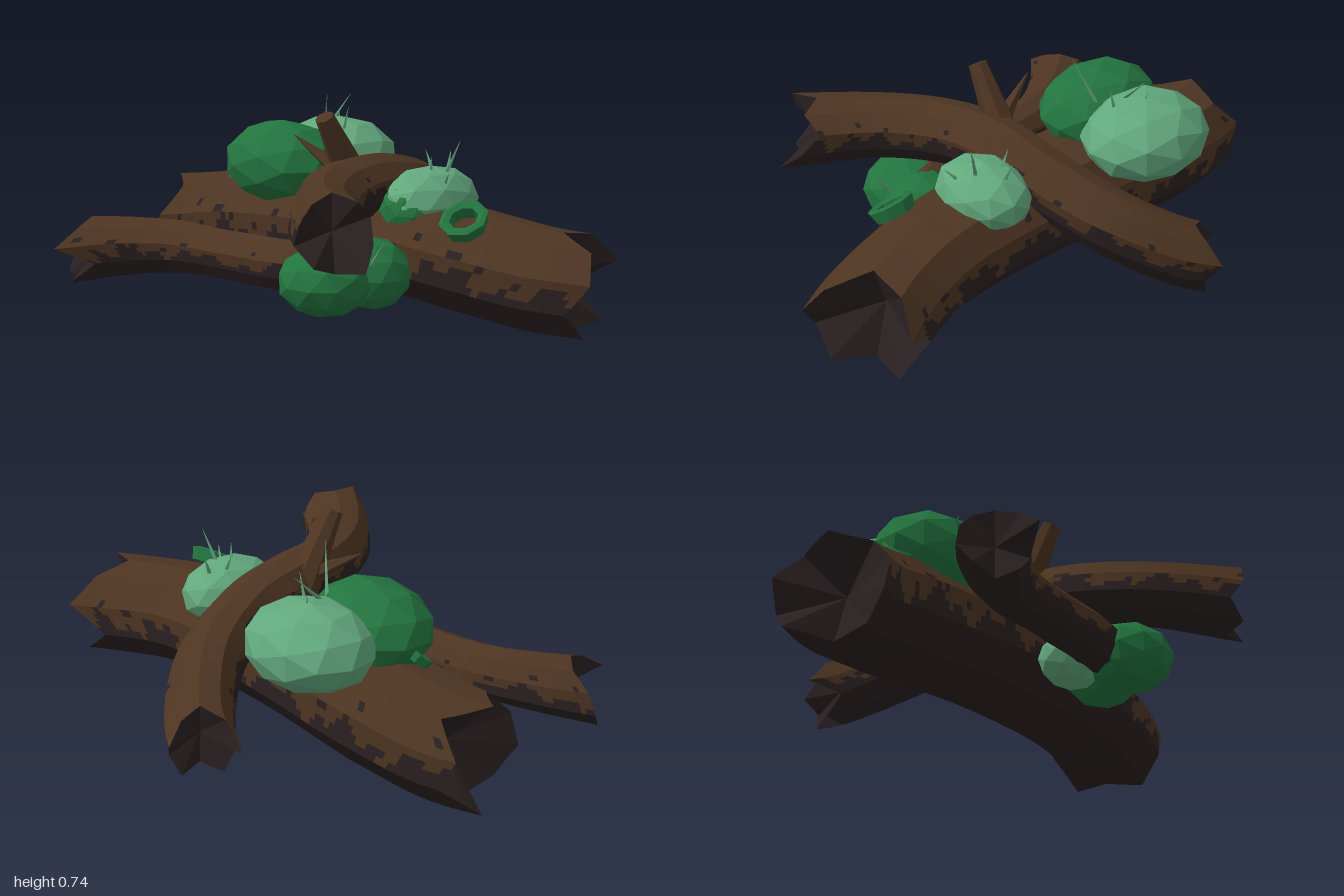
import * as THREE from 'three';

const paint = (name, color) => {
  const m = new THREE.MeshStandardMaterial({ color });
  m.name = name;
  return m;
};
const bark = paint('bark', 0x4e3522);
const rot = paint('darkWood', 0x2a2021);
const moss = paint('moss', 0x23743f);
const paleMoss = paint('paleMoss', 0x62a87d);

const V = (p) => new THREE.Vector3(...p);
const UP = new THREE.Vector3(0, 1, 0);

// Flat-faced mesh from a list of triangle corners
function facets(name, points, material) {
  const g = new THREE.BufferGeometry().setFromPoints(points);
  g.computeVertexNormals();
  const mesh = new THREE.Mesh(g, material);
  mesh.name = name;
  return mesh;
}

// Ten-sided log swept along a path: splintered ends, bark above, dark wood below.
// head and tail hold how far each side stops short of the path's ends.
function log({ name, path, radii, squash, head, tail, hollow, phase, barkEdge }) {
  const SIDES = 10, SUB = 4, STEPS = 72, RING = SIDES * SUB;
  const curve = new THREE.CatmullRomCurve3(path.map(V));
  const length = curve.getLength();
  const mix = (arr, k) => {
    const i = Math.floor(k / SUB), f = (k % SUB) / SUB;
    return arr[i % SIDES] * (1 - f) + arr[(i + 1) % SIDES] * f;
  };
  const cos = [], sin = [];
  for (let i = 0; i < SIDES; i++) {
    const a = ((i + 0.5) / SIDES) * Math.PI * 2;
    const bump = 1 + 0.04 * Math.sin(i * 2.4 + phase);
    cos.push(Math.cos(a) * bump);
    sin.push(Math.sin(a) * bump);
  }
  const radiusAt = (t) => {
    const x = t * (radii.length - 1), i = Math.min(Math.floor(x), radii.length - 2);
    return THREE.MathUtils.lerp(radii[i], radii[i + 1], x - i);
  };
  const vertex = (s, k) => {
    k %= RING;
    const t0 = mix(head, k) / length, t1 = mix(tail, k) / length;
    // the inset fades out away from each end
    const t = s + t0 * Math.max(0, 1 - s * 3) - t1 * Math.max(0, 1 - (1 - s) * 3);
    const T = curve.getTangentAt(t), r = radiusAt(t);
    const S = T.clone().cross(UP).normalize(), U = S.clone().cross(T);
    return curve.getPointAt(t)
      .addScaledVector(S, mix(cos, k) * r)
      .addScaledVector(U, mix(sin, k) * r * squash);
  };
  const rows = [];
  for (let i = 0; i <= STEPS; i++) {
    rows.push(Array.from({ length: RING + 1 }, (_, k) => vertex(i / STEPS, k)));
  }
  const top = [], under = [];
  for (let i = 0; i < STEPS; i++) {
    // ragged edge of the bark, with a few bare patches above it
    const u = (i / STEPS) * length * 10 + phase;
    const edge = barkEdge + 0.15 * Math.sin(u * 1.7) + 0.14 * Math.sin(u * 4.3 + 1);
    for (let k = 0; k < RING; k++) {
      const h = (mix(sin, k) + mix(sin, (k + 1) % RING)) / 2;
      const bare = h < 0.6 && Math.sin(u * 2.7 + k * 0.9) * Math.sin(u * 1.1 - k * 1.3) > 0.82;
      const a = rows[i][k], b = rows[i + 1][k], c = rows[i][k + 1], d = rows[i + 1][k + 1];
      (h < edge || bare ? under : top).push(a, b, c, b, d, c);
    }
  }
  // hollowed, broken ends
  const inA = curve.getPointAt(hollow / length), inB = curve.getPointAt(1 - hollow / length);
  for (let k = 0; k < RING; k++) {
    under.push(inA, rows[0][k], rows[0][k + 1], inB, rows[STEPS][k + 1], rows[STEPS][k]);
  }
  const g = new THREE.Group();
  g.name = name;
  g.add(facets(name + 'Bark', top, bark), facets(name + 'DarkWood', under, rot));
  return g;
}

// Faceted cushion of moss
function cushion(name, center, size, material) {
  const geo = new THREE.IcosahedronGeometry(1.03, 1);
  geo.rotateY(center[0] * 9).scale(...size).computeVertexNormals();
  const mesh = new THREE.Mesh(geo, material);
  mesh.position.set(...center);
  mesh.name = name;
  return mesh;
}

// Tapered piece between two points
function taper(name, from, to, r0, r1, sides, material) {
  const a = V(from), b = V(to), dir = b.clone().sub(a);
  const geo = new THREE.CylinderGeometry(r1, r0, dir.length(), sides).toNonIndexed();
  geo.computeVertexNormals();
  const mesh = new THREE.Mesh(geo, material);
  mesh.position.copy(a).add(b).multiplyScalar(0.5);
  mesh.quaternion.setFromUnitVectors(UP, dir.normalize());
  mesh.name = name;
  return mesh;
}

// Eight-sided cup fungus with an open middle
function cup(name, center, facing, r) {
  const profile = [[0.58, -0.3], [0.85, -0.3], [1, 0.22], [0.82, 0.3], [0.58, 0.2], [0.58, -0.3]]
    .map(([x, y]) => new THREE.Vector2(x * r, y * r));
  const geo = new THREE.LatheGeometry(profile, 8).toNonIndexed();
  geo.computeVertexNormals();
  const mesh = new THREE.Mesh(geo, moss);
  mesh.position.set(...center);
  mesh.quaternion.setFromUnitVectors(UP, V(facing).normalize());
  mesh.name = name;
  return mesh;
}

export function createModel() {
  const model = new THREE.Group();
  model.name = 'mossyLogs';

  // Logs
  model.add(
    log({
      name: 'mainLog', squash: 0.84, hollow: 0.22, phase: 0.4, barkEdge: -0.04,
      path: [[-0.98, 0.18, 0.04], [-0.8, 0.195, -0.035], [-0.55, 0.23, -0.075], [0, 0.265, -0.09], [0.5, 0.24, -0.105], [0.75, 0.21, -0.165], [0.945, 0.195, -0.26]],
      radii: [0.22, 0.235, 0.225, 0.215, 0.215],
      head: [0.06, 0.14, 0.06, 0.18, 0.1, 0.14, 0.01, 0.13, 0.07, 0.02],
      tail: [0.02, 0.04, 0.16, 0.08, 0, 0.14, 0.02, 0.13, 0.04, 0.1],
    }),
    log({
      name: 'frontBranch', squash: 0.97, hollow: 0.14, phase: 2.1, barkEdge: 0,
      path: [[-0.85, 0.175, 0.67], [-0.71, 0.195, 0.54], [-0.5, 0.21, 0.415], [-0.2, 0.215, 0.37], [0.05, 0.22, 0.335], [0.3, 0.23, 0.2]],
      radii: [0.13, 0.107, 0.092, 0.094, 0.1],
      head: [0, 0.08, 0.13, 0.12, 0.06, 0.02, 0, 0.1, 0.03, 0.14],
      tail: [0, 0, 0, 0, 0, 0, 0, 0, 0, 0],
    }),
    log({
      name: 'crossBranch', squash: 0.98, hollow: 0.15, phase: 4.7, barkEdge: 0.06,
      path: [[-0.335, 0.15, -0.7], [-0.19, 0.215, -0.62], [-0.02, 0.33, -0.44], [0.07, 0.425, -0.2], [0.09, 0.465, 0], [0.135, 0.465, 0.2], [0.28, 0.458, 0.42], [0.59, 0.455, 0.65]],
      radii: [0.125, 0.118, 0.115, 0.116, 0.119, 0.137],
      head: [0, 0.1, 0.16, 0.12, 0.06, 0.09, 0.05, 0.12, 0.04, 0.1],
      tail: [0.07, 0.06, 0.15, 0.1, 0.15, 0.08, 0, 0.1, 0.06, 0.13],
    }),
  );

  // Broken twig and its thorn
  model.add(
    taper('twig', [0.035, 0.46, 0.02], [0.035, 0.725, 0.175], 0.065, 0.034, 7, bark),
    taper('twigThorn', [0.04, 0.5, 0.07], [-0.165, 0.63, 0.13], 0.04, 0.002, 5, bark),
  );

  // Moss cushions
  model.add(
    cushion('bigMoss', [-0.385, 0.48, -0.02], [0.24, 0.155, 0.192], moss),
    cushion('bigPaleMoss', [-0.365, 0.475, -0.28], [0.242, 0.148, 0.212], paleMoss),
    cushion('smallMoss', [0.265, 0.395, -0.01], [0.11, 0.1, 0.09], moss),
    cushion('smallPaleMoss', [0.27, 0.42, -0.12], [0.145, 0.12, 0.192], paleMoss),
    cushion('lowerMossFront', [0.225, 0.205, 0.36], [0.165, 0.12, 0.16], moss),
    cushion('lowerMossBack', [0.285, 0.215, 0.2], [0.145, 0.125, 0.135], moss),
    cushion('lowerPaleMoss', [0.09, 0.19, 0.21], [0.125, 0.095, 0.105], paleMoss),
  );

  // Moss spines: base and tip
  const spines = [
    [[-0.33, 0.58, -0.18], [-0.32, 0.71, -0.31]],
    [[-0.28, 0.55, -0.13], [-0.2, 0.75, -0.07]],
    [[-0.27, 0.57, -0.22], [-0.24, 0.68, -0.22]],
    [[-0.35, 0.59, -0.28], [-0.36, 0.65, -0.29]],
    [[0.23, 0.52, -0.17], [0.2, 0.585, -0.17]],
    [[0.29, 0.51, -0.1], [0.3, 0.585, -0.09]],
    [[0.32, 0.51, -0.14], [0.365, 0.64, -0.17]],
    [[0.35, 0.48, -0.1], [0.4, 0.54, -0.07]],
    [[0.26, 0.51, -0.22], [0.25, 0.58, -0.25]],
    [[0.37, 0.27, 0.28], [0.43, 0.36, 0.285]],
  ];
  for (const [base, tip] of spines) {
    model.add(taper('mossSpine', base, tip, 0.01, 0.0008, 4, paleMoss));
  }

  // Cup fungi
  model.add(
    cup('rightCup', [0.56, 0.41, 0.025], [0.12, 0.8, 0.5], 0.088),
    cup('leftCup', [-0.59, 0.425, 0.0], [-0.2, 0.7, 0.6], 0.06),
  );
  return model;
}
